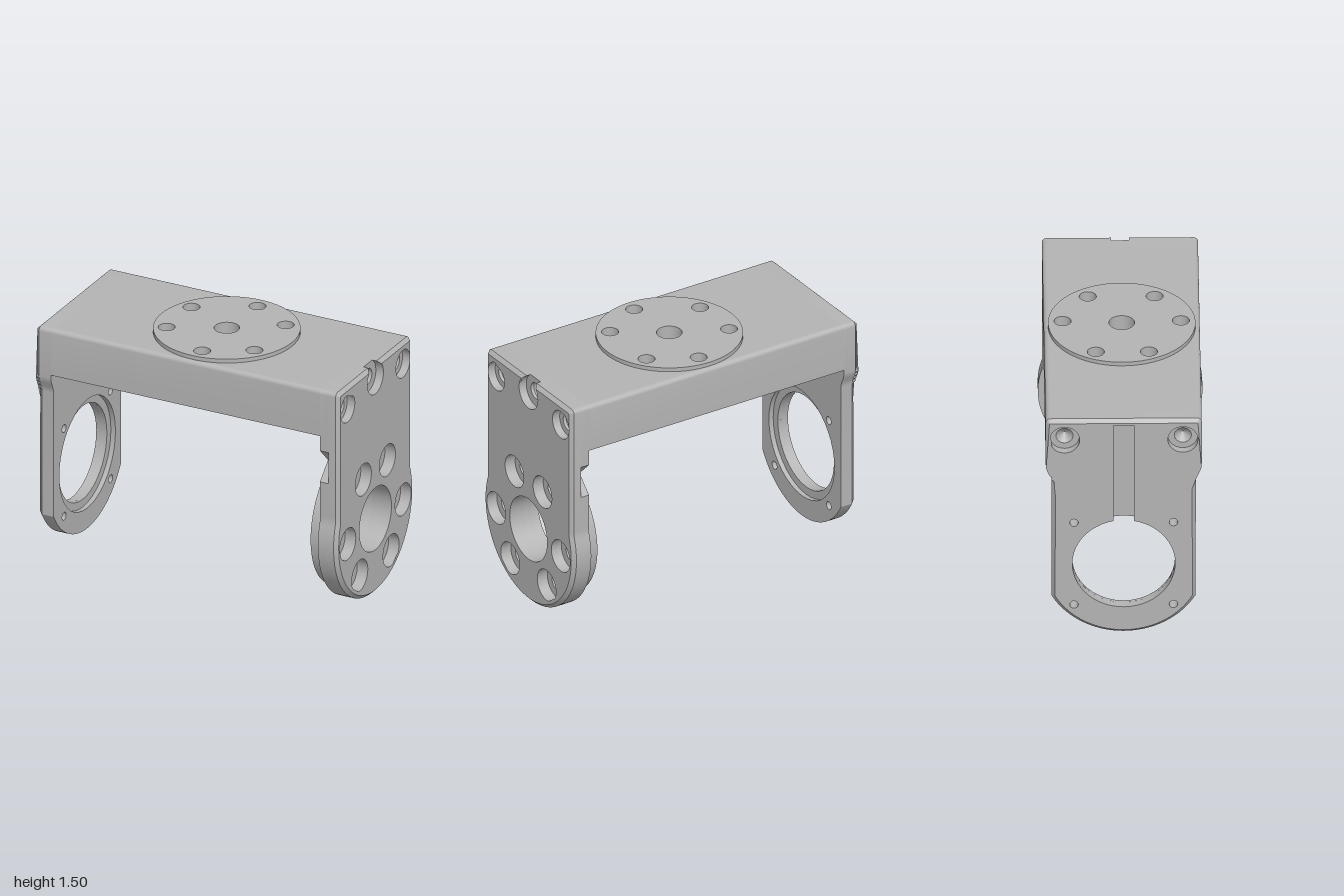
import * as THREE from 'three';
import { mergeGeometries, toCreasedNormals } from 'three/addons/utils/BufferGeometryUtils.js';

const CY = 0.485;                 // height of the pivot axis
const TOP = 1.475, HALF = 0.455;  // top face and half depth
const CR = 0.027, CH = 0.022;     // corner radius and edge chamfer
const INX = -0.9, OUTX = 0.875;   // inner faces of the two arms
const CEIL = 1.4, SPLIT = HALF - CR;
const underside = z => CY + Math.sqrt(0.69 - z * z);

const V = (x, y) => new THREE.Vector2(x, y);
const arc = (cx, cy, r, a0, a1, n) => Array.from({ length: n + 1 }, (_, i) => {
  const a = a0 + (a1 - a0) * i / n;
  return V(cx + r * Math.cos(a), cy + r * Math.sin(a));
});
const circle = ([x, y], r) => arc(x, y, r, 0, Math.PI * 2, 40).slice(0, -1);
const mirrored = half => [...half, ...half.slice(1).reverse().map(p => V(-p.x, p.y))];

// Arm outlines in the depth/height plane, shrunk by an inset
function outline(inset, side, { bite = false, vNotch = false } = {}) {
  const pts = arc(0, CY, 0.48 - inset, -Math.PI / 2, side === 'right' ? 0.325 : -0.506, 24);
  if (side === 'left') {
    for (let i = 0; i <= 8; i++) {
      const t = i / 8;
      pts.push(V(0.42 + 0.035 * t * t * (3 - 2 * t) - inset, 1.05 + 0.11 * t));
    }
  } else {
    pts.push(V(HALF - inset, 0.67));
    if (vNotch) pts.push(V(HALF, 0.885), V(0.355, 0.985), V(HALF, 1.085));
  }
  pts.push(...arc(SPLIT, TOP - CR, CR - inset, 0, Math.PI / 2, 6));
  if (bite) {
    const a = Math.asin((TOP - inset - 1.39) / 0.1);
    pts.push(...arc(0, 1.39, 0.1, a, -Math.PI / 2, 16));
  }
  return mirrored(pts);
}

function extrude(points, holes, depth) {
  const shape = new THREE.Shape(points);
  shape.holes = holes.map(h => new THREE.Path(h));
  return new THREE.ExtrudeGeometry(shape, { depth, bevelEnabled: false, steps: 1 });
}

// One layer along x; "inner" replaces the outline on one face to make a chamfer
function layer(x0, x1, points, holes, inner, atEnd) {
  const g = extrude(points, holes, x1 - x0);
  if (inner) {
    const key = (x, y) => x.toFixed(4) + ',' + y.toFixed(4);
    const map = new Map(points.map((p, i) => [key(p.x + 0, p.y), inner[i]]));
    const pos = g.attributes.position;
    for (let i = 0; i < pos.count; i++) {
      if ((pos.getZ(i) > (x1 - x0) / 2) !== atEnd) continue;
      const q = map.get(key(pos.getX(i) + 0, pos.getY(i)));
      if (q) pos.setXY(i, q.x, q.y);
    }
  }
  return g.rotateY(Math.PI / 2).translate(x0, 0, 0);
}

export function createModel() {
  const model = new THREE.Group();
  const metal = new THREE.MeshStandardMaterial({ color: 0xb4b4b4, side: THREE.DoubleSide });
  metal.name = 'grey metal';
  const add = (name, geos) => {
    const parts = [].concat(geos).map(g => {
      const p = g.index ? g.toNonIndexed() : g;
      p.deleteAttribute('uv');
      if (!p.attributes.normal) p.computeVertexNormals();
      p.clearGroups();
      return toCreasedNormals(p, 0.5);
    });
    const mesh = new THREE.Mesh(mergeGeometries(parts), metal);
    mesh.name = name;
    model.add(mesh);
  };
  const drillTip = (x, dir, [z, y]) => new THREE.ConeGeometry(0.05, 0.045, 32, 1, true)
    .rotateZ(dir * Math.PI / 2).translate(x - dir * 0.0225, y, z);

  // Right arm with bolt pattern
  const bolts = [[0.15, 0.8], [0.345, 0.465], [0.195, 0.2]].flatMap(([z, y]) => [[z, y], [-z, y]]);
  const corners = [[0.345, 1.34], [-0.345, 1.34]];
  const upper = [...corners, [0, 1.39]];
  const bore = circle([0, CY], 0.2);
  const round = (list, r) => list.map(c => circle(c, r));
  const faceHoles = [bore, ...round(bolts, 0.1), ...round(corners, 0.088)];
  const plain = outline(0, 'right'), bitten = outline(0, 'right', { bite: true });
  add('rightArm', [
    layer(1 - CH, 1, bitten, faceHoles, outline(CH, 'right', { bite: true }), true),
    layer(0.95, 1 - CH, bitten, faceHoles),
    layer(0.93, 0.95, plain, [bore, ...round(bolts, 0.1), ...round(upper, 0.05)]),
    layer(OUTX, 0.93, outline(0, 'right', { vNotch: true }),
      [bore, ...round(bolts, 0.05), ...round(upper, 0.05)]),
    ...upper.map(c => drillTip(0.93, 1, c)),
  ]);
  add('pivotBoss', layer(0.8, OUTX, arc(0, CY, 0.43, 0, Math.PI * 2, 72).slice(0, -1),
    [bore, ...round(bolts, 0.05)]));

  // Left arm with stepped bearing seat and outer cable groove
  const screws = [-1, 1].flatMap(a => [-1, 1].map(b => [0.29 * a, CY + 0.283 * b]));
  const small = round(screws, 0.025);
  const a0 = Math.acos(0.06 / 0.3);
  const grooved = [...arc(0, CY, 0.3, Math.PI - a0, Math.PI * 2 + a0, 48), V(0.06, 1.44), V(-0.06, 1.44)];
  const left = outline(0, 'left');
  const outerHoles = [grooved, ...small, ...round(corners, 0.088)];
  add('leftArm', [
    layer(-1, -1 + CH, left, outerHoles, outline(CH, 'left'), false),
    layer(-1 + CH, -0.95, left, outerHoles),
    layer(-0.95, -0.93, left, [circle([0, CY], 0.3), ...small, ...round(corners, 0.05)]),
    layer(-0.93, INX, left, [circle([0, CY], 0.35), ...small, ...round(corners, 0.05)]),
    ...corners.map(c => drillTip(-0.95, -1, c)),
  ]);

  // Bridge top and raised mounting disc
  const mounts = [[0.04, 0.345], [0.305, 0.195], [-0.295, 0.155]].flatMap(([x, z]) => [[x, z], [x, -z]]);
  const MX = 0.02, MR = 0.075;
  const topHoles = [circle([MX, 0], MR), ...round(mounts, 0.05)];
  const flat = (points, y0, y1) => extrude(points, topHoles, y1 - y0).rotateX(-Math.PI / 2).translate(0, y0, 0);
  add('bridgeTop', flat([V(INX, -SPLIT), V(OUTX, -SPLIT), V(OUTX, SPLIT), V(INX, SPLIT)], CEIL, TOP));
  add('mountingDisc', flat(arc(MX, 0, 0.43, 0, Math.PI * 2, 72).slice(0, -1), TOP, 1.5));

  // Rounded side rails of the bridge
  const rail = [V(SPLIT, underside(SPLIT)), V(HALF, underside(HALF)),
    ...arc(SPLIT, TOP - CR, CR, 0, Math.PI / 2, 6)];
  add('bridgeRails', [1, -1].map(s => layer(INX, OUTX, rail.map(p => V(p.x * s, p.y)), [])));

  // Arched underside, swept in thin strips that leave out the pockets and slot
  const PR = 0.08, SLOT = 0.06;
  const gaps = z => {
    const out = mounts.filter(m => Math.abs(z - m[1]) < PR).map(([x, mz]) => {
      const w = Math.sqrt(PR * PR - (z - mz) ** 2);
      return [x - w, x + w];
    });
    if (Math.abs(z) < MR) {
      const w = Math.sqrt(MR * MR - z * z);
      out.push([Math.abs(z) < SLOT ? INX : MX - w, MX + w]);
    }
    return [INX, ...out.sort((a, b) => a[0] - b[0]).flat(), OUTX];
  };
  const cuts = [-SPLIT, SPLIT, MR, -MR, SLOT, -SLOT, ...mounts.flatMap(m => [m[1] - PR, m[1] + PR])];
  for (let i = -42; i <= 42; i++) cuts.push(i * 0.01);
  cuts.sort((a, b) => a - b);
  const tri = [];
  const quad = (a, b, c, d) => tri.push(...a, ...b, ...c, ...a, ...c, ...d);
  for (let i = 0; i + 1 < cuts.length; i++) {
    const z0 = cuts[i], z1 = cuts[i + 1];
    if (z1 - z0 < 1e-5) continue;
    const A = gaps(z0 + 1e-6), B = gaps(z1 - 1e-6), y0 = underside(z0), y1 = underside(z1);
    for (let k = 0; k + 1 < A.length; k += 2) {
      quad([A[k], y0, z0], [A[k + 1], y0, z0], [B[k + 1], y1, z1], [B[k], y1, z1]);
    }
  }
  // Pocket and slot walls up to the flat ceiling
  const wall = pts => pts.slice(1).forEach((q, i) => {
    const p = pts[i];
    quad([p.x, underside(p.y), p.y], [p.x, CEIL, p.y], [q.x, CEIL, q.y], [q.x, underside(q.y), q.y]);
  });
  mounts.forEach(([x, z]) => wall(arc(x, z, PR, Math.PI * 2, 0, 40)));
  const b = Math.asin(SLOT / MR);
  wall([V(INX, SLOT), ...arc(MX, 0, MR, Math.PI - b, -Math.PI + b, 32), V(INX, -SLOT)]);
  const under = new THREE.BufferGeometry();
  under.setAttribute('position', new THREE.Float32BufferAttribute(tri, 3));
  add('bridgeUnderside', under);

  return model;
}
